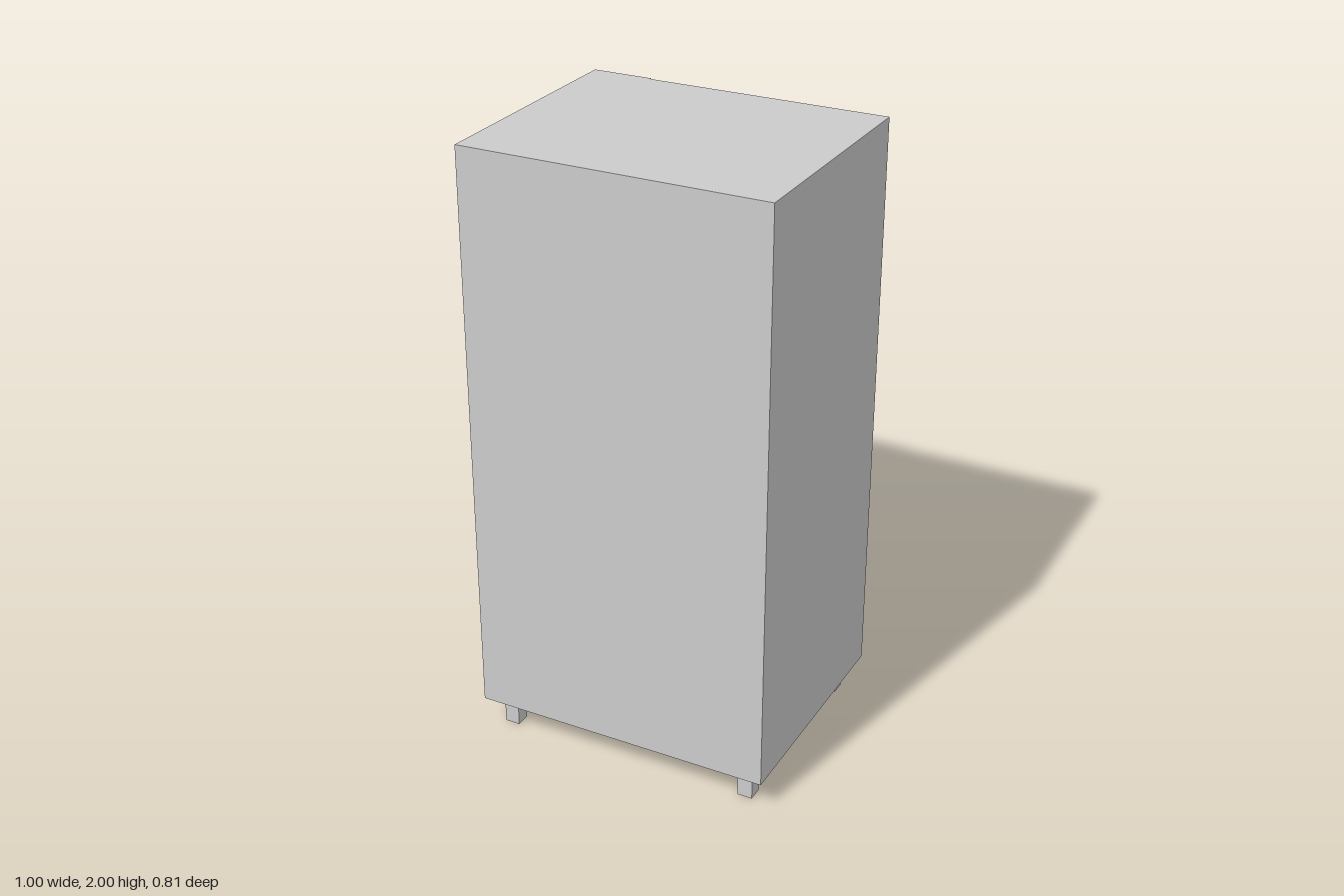
import * as THREE from 'three';

const material = new THREE.MeshStandardMaterial({ color: 0xcccccc, flatShading: true });

// Box given by its limits on each axis
function box(name, [x0, x1], [y0, y1], [z0, z1]) {
  const mesh = new THREE.Mesh(new THREE.BoxGeometry(x1 - x0, y1 - y0, z1 - z0), material);
  mesh.name = name;
  mesh.position.set((x0 + x1) / 2, (y0 + y1) / 2, (z0 + z1) / 2);
  return mesh;
}

function trace(path, [x0, x1], [y0, y1]) {
  path.moveTo(x0, y0);
  path.lineTo(x1, y0);
  path.lineTo(x1, y1);
  path.lineTo(x0, y1);
  path.closePath();
  return path;
}

// Rectangular plate with a rectangular opening
function plateWithOpening(name, xs, ys, holeXs, holeYs, [z0, z1]) {
  const shape = trace(new THREE.Shape(), xs, ys);
  shape.holes.push(trace(new THREE.Path(), holeXs, holeYs));
  const geometry = new THREE.ExtrudeGeometry(shape, { depth: z1 - z0, bevelEnabled: false });
  const mesh = new THREE.Mesh(geometry, material);
  mesh.name = name;
  mesh.position.z = z0;
  return mesh;
}

export function createModel() {
  const group = new THREE.Group();
  group.name = 'vendingMachine';

  const height = [0.1, 2];
  const back = -0.34; // plane on which the door parts are mounted
  const doorXs = [-0.28, 0.475];
  const slotXs = [-0.14, 0.33];
  const slotYs = [0.316, 0.473];

  // Cabinet and door frame
  group.add(box('cabinet', [-0.5, 0.5], height, [back, 0.405]));
  group.add(plateWithOpening('doorFrame', [-0.3, 0.5], height, doorXs, [0.125, 1.97], [-0.393, back]));

  // Display window and the lower panel with its delivery opening
  group.add(box('window', doorXs, [0.65, 1.97], [-0.373, back]));
  group.add(plateWithOpening('lowerPanel', doorXs, [0.125, 0.65], slotXs, slotYs, [-0.384, back]));

  // Delivery flap, leaning inward towards its lower edge
  const profile = new THREE.Shape([
    new THREE.Vector2(0.384, slotYs[1]),
    new THREE.Vector2(-back, slotYs[1]),
    new THREE.Vector2(-back, slotYs[0]),
    new THREE.Vector2(0.355, slotYs[0]),
  ]);
  const flap = new THREE.Mesh(
    new THREE.ExtrudeGeometry(profile, { depth: slotXs[1] - slotXs[0], bevelEnabled: false }), material);
  flap.name = 'deliveryFlap';
  flap.rotation.y = Math.PI / 2;
  flap.position.x = slotXs[0];
  group.add(flap);

  // Control column with the recessed payment unit
  const recessXs = [-0.463, -0.343], recessYs = [1.03, 1.17];
  group.add(box('columnBody', [-0.5, -0.3], height, [-0.385, back]));
  group.add(plateWithOpening('controlPanel', [-0.5, -0.3], height, recessXs, recessYs, [-0.4, -0.385]));
  const payment = new THREE.Group();
  payment.name = 'paymentUnit';
  payment.add(plateWithOpening('slotBezel', [-0.45, -0.356], [1.068, 1.132], [-0.44, -0.37], [1.08, 1.125], [-0.395, -0.385]));
  payment.add(box('slotLip', [-0.44, -0.37], [1.108, 1.125], [-0.41, -0.385]));
  payment.add(box('slotTray', [-0.44, -0.37], [1.08, 1.094], [-0.398, -0.385]));
  group.add(payment);

  // Four square legs
  for (const x of [-0.425, 0.425]) {
    for (const z of [-0.315, 0.335]) {
      group.add(box('leg', [x - 0.025, x + 0.025], [0, 0.1], [z - 0.025, z + 0.025]));
    }
  }
  return group;
}
